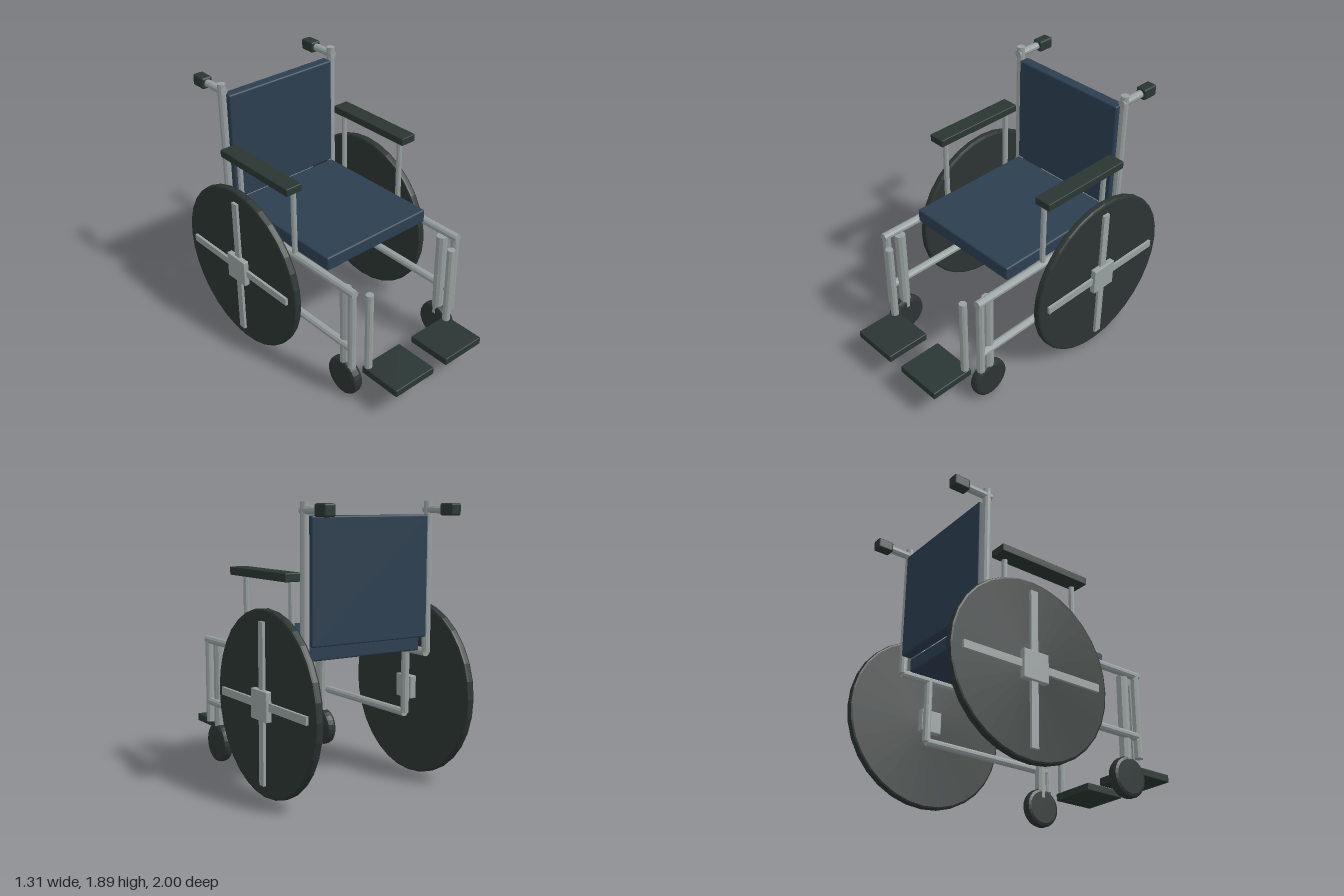
import * as THREE from 'three';
import { RoundedBoxGeometry } from 'three/addons/geometries/RoundedBoxGeometry.js';

const paint = (color, flat = false) => new THREE.MeshStandardMaterial({ color, flatShading: flat });
const metal = paint(0x98a0a0, true);
const fabric = paint(0x2c3e50);
const rubber = paint(0x2b3432, true);
const pad = paint(0x2a3633);

export function createModel() {
  const model = new THREE.Group();
  model.name = 'wheelchair';

  const add = (parent, name, geometry, material) => {
    const mesh = new THREE.Mesh(geometry, material);
    mesh.name = name;
    parent.add(mesh);
    return mesh;
  };

  // Box given by its min and max corners; radius rounds the edges
  const box = (parent, name, [x0, y0, z0], [x1, y1, z1], material, radius = 0) => {
    const size = [x1 - x0, y1 - y0, z1 - z0];
    const geometry = radius
      ? new RoundedBoxGeometry(...size, 2, radius)
      : new THREE.BoxGeometry(...size);
    const mesh = add(parent, name, geometry, material);
    mesh.position.set((x0 + x1) / 2, (y0 + y1) / 2, (z0 + z1) / 2);
    return mesh;
  };

  // Straight tube between two points
  const tube = (parent, name, a, b, radius) => {
    const from = new THREE.Vector3(...a);
    const to = new THREE.Vector3(...b);
    const along = to.clone().sub(from);
    const geometry = new THREE.CylinderGeometry(radius, radius, along.length(), 10);
    const mesh = add(parent, name, geometry, metal);
    mesh.position.copy(from).add(to).multiplyScalar(0.5);
    mesh.quaternion.setFromUnitVectors(new THREE.Vector3(0, 1, 0), along.normalize());
    return mesh;
  };

  // Solid disc turned about the x axis, with softened rims
  const disc = (parent, name, radius, width, bevel, sides, [x, y, z]) => {
    const h = width / 2;
    const c = bevel * 0.3;
    const profile = [
      [0, -h], [radius - bevel, -h], [radius - c, -h + c], [radius, -h + bevel],
      [radius, h - bevel], [radius - c, h - c], [radius - bevel, h], [0, h],
    ].map((p) => new THREE.Vector2(...p));
    const mesh = add(parent, name, new THREE.LatheGeometry(profile, sides), rubber);
    mesh.rotation.z = Math.PI / 2;
    mesh.position.set(x, y, z);
  };

  // Seat, backrest and the bar under the seat
  box(model, 'seat', [-0.45, 0.91, -0.62], [0.45, 1.01, 0.375], fabric, 0.012);
  box(model, 'backrest', [-0.45, 1.01, -0.693], [0.45, 1.815, -0.613], fabric, 0.012);
  tube(model, 'crossbar', [-0.48, 0.89, -0.1], [0.48, 0.89, -0.1], 0.022);

  for (const s of [1, -1]) {
    const side = new THREE.Group();
    side.name = s > 0 ? 'leftSide' : 'rightSide';
    model.add(side);

    // Box whose x range is mirrored for the right side
    const sideBox = (name, a, b, material, radius) => {
      const x = [a[0] * s, b[0] * s].sort((p, q) => p - q);
      return box(side, name, [x[0], a[1], a[2]], [x[1], b[1], b[2]], material, radius);
    };
    const post = (name, x, z, y0, y1, r) => tube(side, name, [s * x, y0, z], [s * x, y1, z], r);
    const rail = (name, y, z0, z1, r) => tube(side, name, [s * 0.48, y, z0], [s * 0.48, y, z1], r);

    // Frame tubes
    rail('seatRail', 0.9, -0.66, 0.67, 0.029);
    rail('lowerRail', 0.445, -0.44, 0.64, 0.029);
    post('backPost', 0.48, -0.655, 0.9, 1.9, 0.029);
    post('rearFramePost', 0.48, -0.44, 0.445, 0.9, 0.029);
    post('frontFramePost', 0.48, 0.643, 0.29, 0.9, 0.029);

    // Push handle
    rail('handleBar', 1.85, -0.83, -0.625, 0.027);
    sideBox('handleGrip', [0.44, 1.81, -0.935], [0.52, 1.89, -0.815], pad, 0.014);

    // Armrest
    sideBox('armrest', [0.45, 1.412, -0.585], [0.575, 1.467, 0.13], pad, 0.006);
    for (const z of [0.075, -0.502]) post('armrestPost', 0.48, z, 0.9, 1.42, 0.02);

    // Large wheel with a cross of spokes and hub plates
    disc(side, 'rearWheel', 0.615, 0.057, 0.015, 32, [s * 0.588, 0.62, -0.38]);
    sideBox('verticalSpoke', [0.6, 0.09, -0.407], [0.637, 1.155, -0.353], metal);
    sideBox('horizontalSpoke', [0.6, 0.595, -0.912], [0.636, 0.648, 0.153], metal);
    sideBox('outerHub', [0.6, 0.522, -0.478], [0.655, 0.72, -0.282], metal, 0.006);
    sideBox('innerHub', [0.513, 0.54, -0.46], [0.57, 0.7, -0.3], metal, 0.006);

    // Front caster
    disc(side, 'casterWheel', 0.142, 0.078, 0.025, 24, [s * 0.452, 0.147, 0.55]);
    post('casterPost', 0.45, 0.55, 0.22, 0.88, 0.04);

    // Footrest
    post('footrestHanger', 0.38, 0.7, 0.25, 0.87, 0.028);
    sideBox('footplate', [0.06, 0.215, 0.67], [0.41, 0.27, 1], pad, 0.006);
  }
  return model;
}
